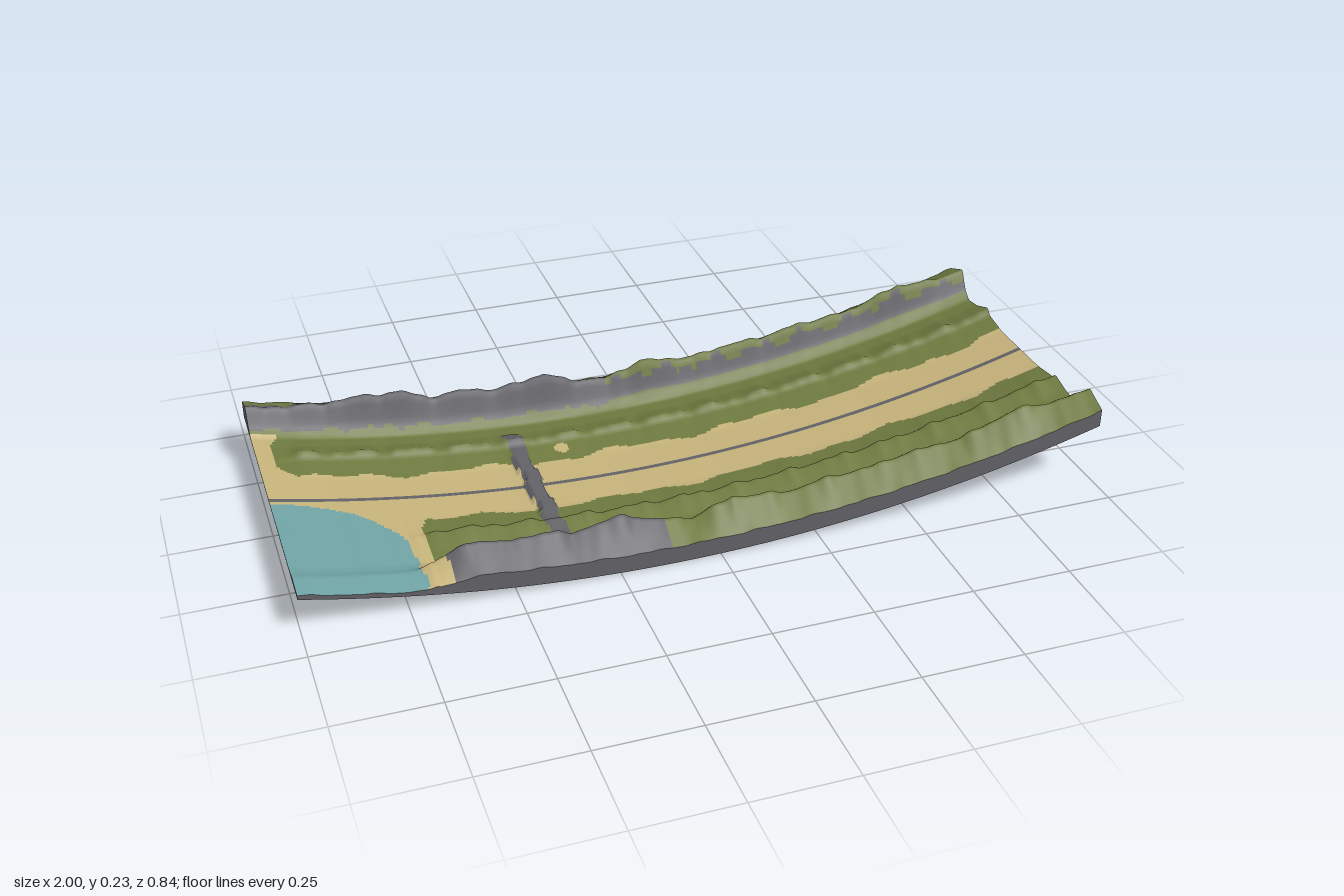
import * as THREE from 'three';

const NX = 280, NZ = 130, HALF = 0.42;
const smooth = THREE.MathUtils.smoothstep;

// piecewise linear lookup through [position, value] points
function lookup(points, t) {
  for (let i = 1; i < points.length; i++) {
    const [a, va] = points[i - 1], [b, vb] = points[i];
    if (t <= b) return va + (vb - va) * Math.max(0, (t - a) / (b - a));
  }
  return points[points.length - 1][1];
}

// curved underside of the strip
const baseY = (x) => 0.003 + 0.1296 * (x + 0.1216) ** 2;

// crest height of the outer hills along the strip
const CREST = [[-1, 0.062], [-0.9, 0.068], [-0.8, 0.08], [-0.7, 0.1], [-0.6, 0.108], [-0.53, 0.085], [-0.42, 0.1],
  [-0.35, 0.09], [-0.22, 0.12], [-0.15, 0.09], [-0.05, 0.074], [0.05, 0.11], [0.2, 0.085], [0.3, 0.095],
  [0.4, 0.088], [0.5, 0.095], [0.65, 0.083], [0.8, 0.107], [0.9, 0.08], [1, 0.07]];
const wobble = (x, s) => 0.5 * Math.sin(47 * x + s) + 0.3 * Math.sin(83 * x + 2.3 * s) + 0.2 * Math.sin(131 * x + s * s);

// lake in the front corner: below 1 is inside
function lake(x, z) {
  return Math.hypot((x + 1) / 0.295, z > 0.25 ? 0 : (z - 0.25) / 0.235) + 0.012 * Math.sin(z * 60);
}
const inBar = (x, z) => Math.abs(x + 0.345 + 0.004 * Math.sin(z * 45)) < 0.022 && z > -0.24 && z < 0.255;

// ground thickness above the underside
function height(x, z) {
  const a = Math.abs(z), s = z > 0 ? 1 : 4;
  const crest = lookup(CREST, x) + 0.006 * wobble(x, s) * (1 - smooth(x, 0.93, 1));
  const fade = z > 0 ? 0.16 + 0.84 * smooth(x, -0.75, -0.55) : 1;
  const wall = 0.042 + 0.003 * wobble(x, s + 2);
  const outer = lookup([[0.3, 0], [0.325, 0.3], [0.352, 1], [0.42, wall / crest]], a) * crest;
  const innerFade = z > 0 ? smooth(x, -0.72, -0.6) : smooth(x, -0.98, -0.88);
  const bump = lookup([[0.1, 0], [0.175, 0.011], [0.19, 0.025], [0.21, 0.019], [0.25, 0.006], [0.3, 0]], a);
  let h = 0.003 + (a > 0.3 ? outer * fade : 0) + bump * innerFade * (1 + 0.35 * wobble(x, s + 1));
  if (z > 0 && x < -0.68) h += 0.002 * (1 + wobble(x, 3)) * smooth(z, 0.02, 0.2);
  if (inBar(x, z)) h = Math.max(h, 0.016);
  return h;
}

// 0 grass, 1 sand, 2 water, 3 rock
function surface(x, z) {
  const a = Math.abs(z);
  if (a < 0.0075 || inBar(x, z)) return 3;
  if (z > 0) {
    const l = lake(x, z);
    if (x < -0.6 && l < 1) return 2;
    const shore = -0.665 + 0.025 * smooth(z, 0.3, 0.4) + 0.02 * smooth(0.16 - z, 0, 0.06);
    if (x < shore) return 1;
  } else if (z > -0.31 && x < -0.955 + 0.05 * smooth(z, -0.16, -0.09) + 0.02 * smooth(-z, 0.26, 0.31)) return 1;
  const edge = 0.108 + 0.009 * Math.sin(17 * x + (z > 0 ? 1 : 3)) + 0.006 * Math.sin(41 * x);
  if (a < edge || Math.hypot(x + 0.23, z + 0.15) < 0.019) return 1;
  // rocky stretches on the outer hills
  const w = 0.012 * wobble(x, 2);
  if (z > 0) {
    if (x < -0.12 && a > 0.34 + w * 0.6) return 3;
    if (x >= -0.12 && a > 0.318 + w * 0.4 && a < 0.35 + w * 0.5) return 3;
  } else {
    if (x > -0.46 && x < -0.16 && a > 0.325 + w) return 3;
    if (x < -0.05 && a > 0.318 + w * 0.5 && a < 0.372 + w) return 3;
    if (x >= -0.05 && a > 0.325 && a < 0.342 + w * 0.7) return 3;
  }
  return 0;
}

const xAt = (i) => -1 + (2 * i) / NX;
const zAt = (j) => -HALF + (2 * HALF * j) / NZ;

// ground with one geometry group per colour
function landGeometry() {
  const pos = [], buckets = [[], [], [], []];
  for (let i = 0; i <= NX; i++) for (let j = 0; j <= NZ; j++) {
    const x = xAt(i), z = zAt(j);
    pos.push(x, baseY(x) + height(x, z), z);
  }
  for (let i = 0; i < NX; i++) for (let j = 0; j < NZ; j++) {
    const a = i * (NZ + 1) + j, b = a + NZ + 1;
    buckets[surface(xAt(i + 0.5), zAt(j + 0.5))].push(a, a + 1, b, b, a + 1, b + 1);
  }
  const g = new THREE.BufferGeometry();
  g.setAttribute('position', new THREE.Float32BufferAttribute(pos, 3));
  g.setIndex(buckets.flat());
  let start = 0;
  buckets.forEach((list, m) => { g.addGroup(start, list.length, m); start += list.length; });
  g.computeVertexNormals();
  return g;
}

// ribbon between two matching lines of points
function ribbon(lower, upper) {
  const pos = [], index = [];
  lower.forEach((p, i) => {
    pos.push(...p, ...upper[i]);
    if (i) { const k = 2 * i; index.push(k - 2, k, k - 1, k - 1, k, k + 1); }
  });
  const g = new THREE.BufferGeometry();
  g.setAttribute('position', new THREE.Float32BufferAttribute(pos, 3));
  g.setIndex(index);
  g.computeVertexNormals();
  return g;
}

export function createModel() {
  const group = new THREE.Group();
  group.name = 'curvedValley';
  const mat = (name, color) => {
    const m = new THREE.MeshStandardMaterial({ color });
    m.name = name;
    return m;
  };
  const rock = mat('rock', 0x626166);
  const under = mat('underside', 0x303032);
  const land = [mat('grass', 0x6e7a40), mat('sand', 0xc6b37b), mat('water', 0x70a3a5), rock];
  const add = (name, geometry, material) => {
    const mesh = new THREE.Mesh(geometry, material);
    mesh.name = name;
    group.add(mesh);
  };

  add('land', landGeometry(), land);

  const alongX = Array.from({ length: NX + 1 }, (_, i) => xAt(i));
  const alongZ = Array.from({ length: NZ + 1 }, (_, j) => zAt(j));
  const low = (x, z) => [x, baseY(x), z];
  const top = (x, z) => [x, baseY(x) + height(x, z), z];

  // long side walls and end walls
  for (const s of [1, -1]) {
    const xs = s > 0 ? alongX : [...alongX].reverse();
    const zs = s > 0 ? [...alongZ].reverse() : alongZ;
    add(s > 0 ? 'frontWall' : 'backWall',
      ribbon(xs.map((x) => low(x, s * HALF)), xs.map((x) => top(x, s * HALF))), rock);
    add(s > 0 ? 'leftEndWall' : 'rightEndWall',
      ribbon(zs.map((z) => low(s, z)), zs.map((z) => top(s, z))), rock);
  }

  // smooth curved underside
  add('underside', ribbon(alongX.map((x) => low(x, -HALF)), alongX.map((x) => low(x, HALF))), under);
  return group;
}
